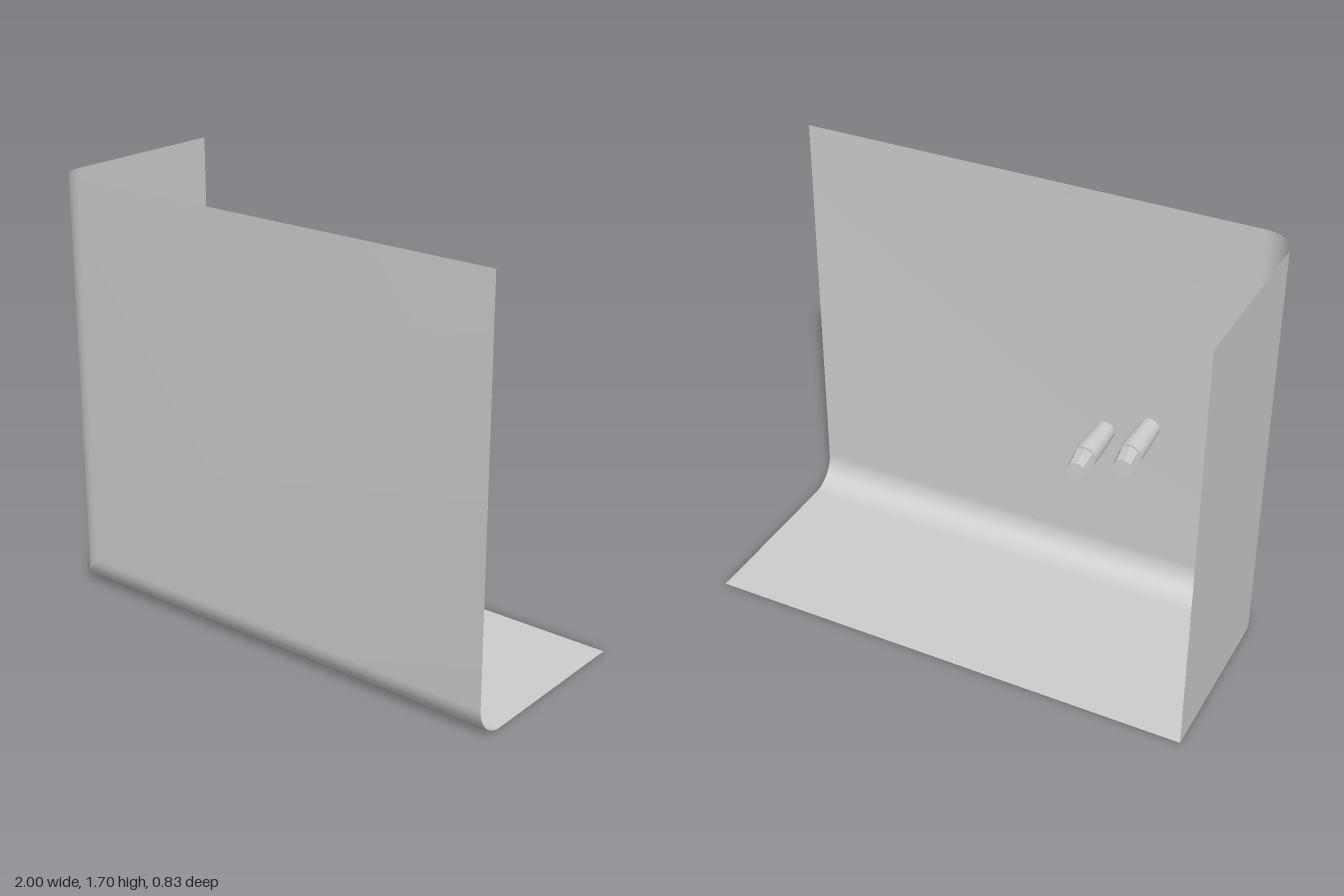
import * as THREE from 'three';
import { toCreasedNormals } from 'three/addons/utils/BufferGeometryUtils.js';

const W = 1, H = 1.7, D = 0.415, R = 0.125, STEPS = 14;

const sheetMat = new THREE.MeshStandardMaterial({ color: 0xcccccc, side: THREE.DoubleSide });
const smoothMat = new THREE.MeshStandardMaterial({ color: 0xcccccc });
const facetMat = new THREE.MeshStandardMaterial({ color: 0xcccccc, flatShading: true });

// How far the front face falls back at distance t from a rounded edge
const inset = (t) => (t >= R ? 0 : R - Math.sqrt(Math.max(0, R * R - (R - t) ** 2)));

// Front sheet, rounded back along its side and bottom edges, mitred where they meet
function frontSheet() {
  const bend = [];
  for (let i = 0; i <= STEPS; i++) bend.push(R * (1 - Math.cos((i / STEPS) * Math.PI / 2)));
  const us = [...bend, 2 * W], vs = [...bend, H];
  const n = us.length, pos = [], idx = [];
  for (const v of vs)
    for (const u of us) pos.push(u - W, v, D - Math.max(inset(u), inset(v)));
  for (let j = 0; j < n - 1; j++)
    for (let i = 0; i < n - 1; i++) {
      const a = j * n + i, b = a + 1, c = a + n + 1, d = a + n;
      idx.push(a, b, c, a, c, d);
    }
  const g = new THREE.BufferGeometry();
  g.setAttribute('position', new THREE.Float32BufferAttribute(pos, 3));
  g.setIndex(idx);
  return toCreasedNormals(g, 0.4);
}

function add(parent, name, geometry, material) {
  const mesh = new THREE.Mesh(geometry, material);
  mesh.name = name;
  parent.add(mesh);
  return mesh;
}

// Tapered cylinder running from point a to point b
function rod(a, b, ra, rb, sides) {
  const dir = b.clone().sub(a);
  const g = new THREE.CylinderGeometry(rb, ra, dir.length(), sides);
  g.applyQuaternion(new THREE.Quaternion().setFromUnitVectors(
    new THREE.Vector3(0, 1, 0), dir.clone().normalize()));
  const mid = a.clone().add(b).multiplyScalar(0.5);
  return g.translate(mid.x, mid.y, mid.z);
}

// Peg behind the front sheet: flared sleeve and a slightly bent, faceted tip
function peg(name, x, y, tipZ) {
  const group = new THREE.Group();
  group.name = name;
  const base = new THREE.Vector3(x, y + 0.004, D - 0.003);
  const joint = new THREE.Vector3(x, y, 0.21);
  const tip = new THREE.Vector3(x - 0.011, y + 0.003, tipZ);
  add(group, 'sleeve', rod(base, joint, 0.041, 0.05, 24), smoothMat);
  add(group, 'tip', rod(joint.clone().setZ(0.215), tip, 0.044, 0.039, 8), facetMat);
  return group;
}

export function createModel() {
  const model = new THREE.Group();
  model.name = 'cornerPanel';
  add(model, 'frontSheet', frontSheet(), sheetMat);

  // Flat floor and side wall reach back from the rounded edges
  const depth = 2 * D - R, midZ = -R / 2;
  add(model, 'floor', new THREE.PlaneGeometry(2 * W, depth).rotateX(-Math.PI / 2), sheetMat)
    .position.set(0, 0, midZ);
  add(model, 'sideWall', new THREE.PlaneGeometry(depth, H).rotateY(-Math.PI / 2), sheetMat)
    .position.set(-W, H / 2, midZ);

  model.add(peg('upperPeg', -0.492, 0.735, 0.117));
  model.add(peg('lowerPeg', -0.305, 0.664, 0.108));
  return model;
}
